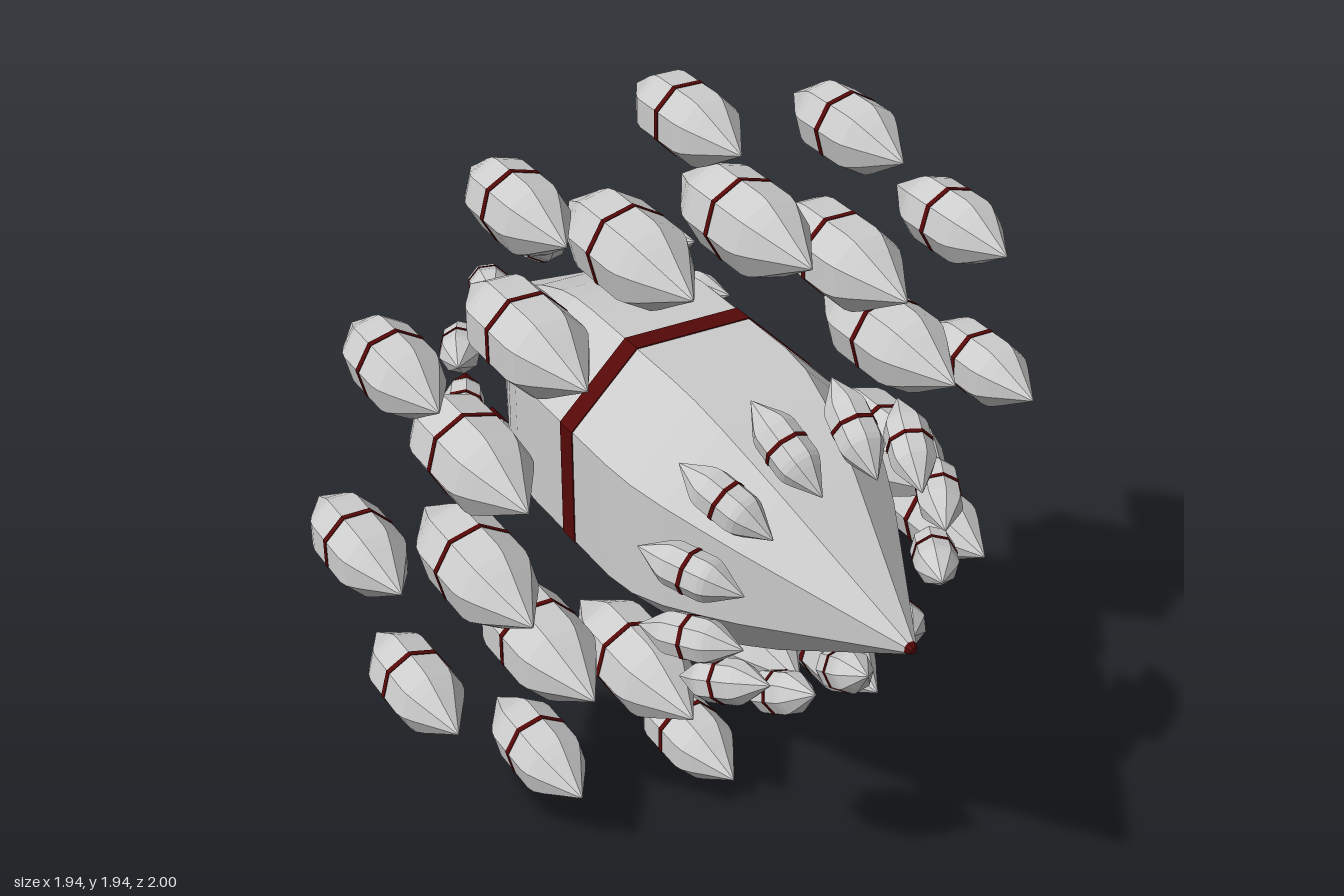
import * as THREE from 'three';

const CY = 0.97; // height of the central axis
const grey = new THREE.MeshStandardMaterial({ color: 0xcccccc, flatShading: true });
const red = new THREE.MeshStandardMaterial({ color: 0x550808, flatShading: true });
const APOTHEM = Math.cos(Math.PI / 8);

// Eight-sided turned solid along z; profile is [z, apothem] from back to front
function turned(name, profile, material) {
  const pts = profile.map(([z, r]) => new THREE.Vector2(r / APOTHEM, z));
  const geo = new THREE.LatheGeometry(pts, 8, Math.PI / 8);
  geo.rotateX(Math.PI / 2);
  const mesh = new THREE.Mesh(geo, material);
  mesh.name = name;
  return mesh;
}

// Closed band around a spindle
function band(name, r, width) {
  const h = width / 2;
  return turned(name, [[-h, 0], [-h, r], [h, r], [h, 0]], red);
}

// Widen the flat sides so the section is a chamfered square
function widenFlats(mesh) {
  const p = mesh.geometry.attributes.position;
  for (let i = 0; i < p.count; i++) {
    const x = p.getX(i), y = p.getY(i);
    if (Math.abs(x) < Math.abs(y)) p.setX(i, x * 1.12);
    else p.setY(i, y * 1.12);
  }
  mesh.geometry.computeVertexNormals();
  return mesh;
}

// Mirrored half profile: [z, r] given from the middle towards the tip
const mirrored = (half) => [
  ...half.slice().reverse().map(([z, r]) => [-z, r]),
  ...half,
];

const POD = [[0.32, 1], [0.42, 0.94], [0.55, 0.76], [0.75, 0.43], [1, 0.03], [1, 0]];

// Spindle pod with a thin red ring around its middle
function makePod(name, halfLength, radius, ringWidth) {
  const pod = new THREE.Group();
  pod.name = name;
  const half = POD.map(([z, r]) => [z * halfLength, r * radius]);
  pod.add(turned('podBody', mirrored(half), grey));
  pod.add(band('podRing', radius + 0.002, ringWidth));
  return pod;
}

// Twelve copies around the axis; make() builds one at the top
function ring(name, radius, z, offset, make) {
  const group = new THREE.Group();
  group.name = name;
  for (let i = 0; i < 12; i++) {
    const arm = new THREE.Group();
    arm.name = name + 'Arm';
    const pod = make();
    pod.position.set(0, radius, z);
    arm.add(pod);
    arm.rotation.z = -(i * Math.PI / 6 + offset);
    group.add(arm);
  }
  return group;
}

export function createModel() {
  const model = new THREE.Group();
  model.name = 'spindleShip';
  const ship = new THREE.Group();
  ship.name = 'ship';
  ship.position.y = CY;
  model.add(ship);

  // Main hull with central band and red tips
  const hullHalf = [[0.2, 0.335], [0.3, 0.325], [0.4, 0.296], [0.5, 0.255],
    [0.6, 0.211], [0.72, 0.15], [0.995, 0.01], [0.995, 0]];
  ship.add(widenFlats(turned('hull', mirrored(hullHalf), grey)));
  ship.add(widenFlats(band('hullBand', 0.338, 0.06)));
  ship.add(turned('noseTip', [[0.985, 0], [0.985, 0.016], [1, 0.008], [1, 0]], red));
  ship.add(turned('tailTip', [[-1, 0], [-1, 0.018], [-0.968, 0.03], [-0.968, 0]], red));

  // Two floating rings of large pods
  ship.add(ring('outerPods', 0.886, 0, 0, () => makePod('outerPod', 0.24, 0.083, 0.015)));
  ship.add(ring('innerPods', 0.61, 0, Math.PI / 12, () => makePod('innerPod', 0.3, 0.102, 0.015)));

  // Small pods hugging the nose and the tail, tilted along the hull
  const tilt = 0.495;
  ship.add(ring('frontPods', 0.348, 0.6, Math.PI / 12, () => {
    const pod = makePod('frontPod', 0.142, 0.05, 0.01);
    pod.rotation.x = tilt;
    return pod;
  }));
  ship.add(ring('rearPods', 0.348, -0.6, Math.PI / 12, () => {
    const pod = makePod('rearPod', 0.142, 0.05, 0.01);
    pod.add(turned('rearPodTip', [[-0.146, 0], [-0.146, 0.004], [-0.07, 0.043], [-0.07, 0]], red));
    pod.rotation.x = -tilt;
    return pod;
  }));

  return model;
}
